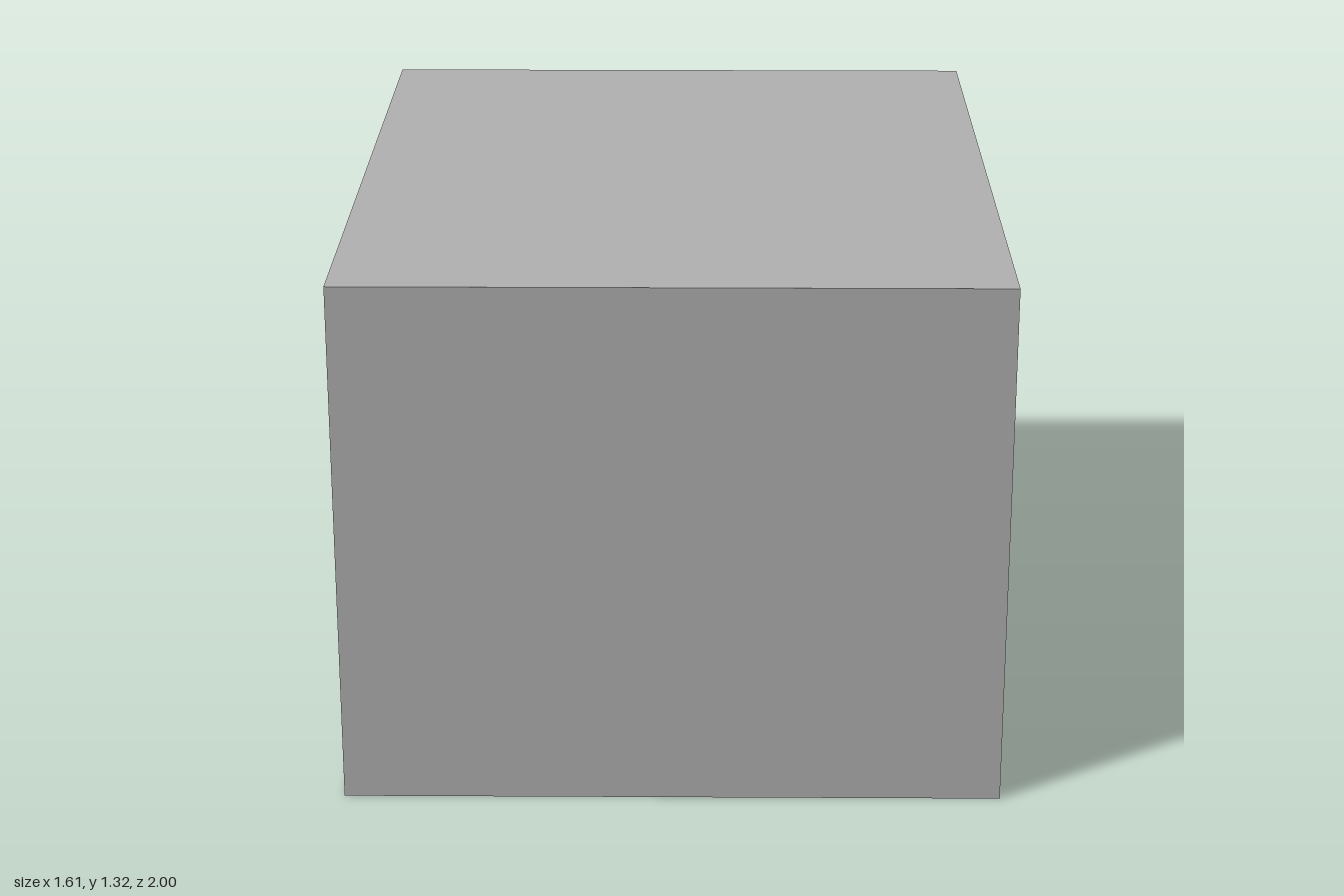
import * as THREE from 'three';

const W = 1.614, H = 1.322, D = 2; // overall width, height, depth
const SILL = 0.66;                 // height of the rear wall and window sills

export function createModel() {
  const model = new THREE.Group();
  model.name = 'openBackedCabin';

  const grey = new THREE.MeshStandardMaterial({ color: 0xb2b2b2, side: THREE.DoubleSide });
  grey.name = 'plain grey';

  const add = (name, geometry, x, y, z) => {
    const mesh = new THREE.Mesh(geometry, grey);
    mesh.name = name;
    mesh.position.set(x, y, z);
    model.add(mesh);
  };

  // Thin sheets: floor, roof, full front wall, low rear wall
  add('floor', new THREE.PlaneGeometry(W, D).rotateX(Math.PI / 2), 0, 0, 0);
  add('roof', new THREE.PlaneGeometry(W, D).rotateX(-Math.PI / 2), 0, H, 0);
  add('frontWall', new THREE.PlaneGeometry(W, H), 0, H / 2, D / 2);
  add('rearWall', new THREE.PlaneGeometry(W, SILL).rotateY(Math.PI), 0, SILL / 2, -D / 2);

  // Side wall outline (shape x runs toward the rear) with a slightly recessed rear post
  const points = (list) => list.map(([x, y]) => new THREE.Vector2(x, y));
  const side = new THREE.Shape(points([
    [-1, 0], [1, 0], [1, SILL], [0.99, SILL], [0.99, 1.275], [1, 1.275], [1, H], [-1, H],
  ]));
  // Window opening
  side.holes.push(new THREE.Path(points([
    [0.185, SILL], [0.185, 1.255], [0.91, 1.255], [0.91, SILL],
  ])));

  for (const [name, s] of [['leftWall', 1], ['rightWall', -1]]) {
    const wall = new THREE.ShapeGeometry(side);
    if (s < 0) wall.scale(-1, 1, 1).setIndex([...wall.index.array].reverse()); // mirrored, winding kept outward
    add(name, wall.rotateY(s * Math.PI / 2), s * W / 2, 0, 0);
  }

  // Mirrored sheets keep outward normals
  model.getObjectByName('rightWall').geometry.computeVertexNormals();
  return model;
}
